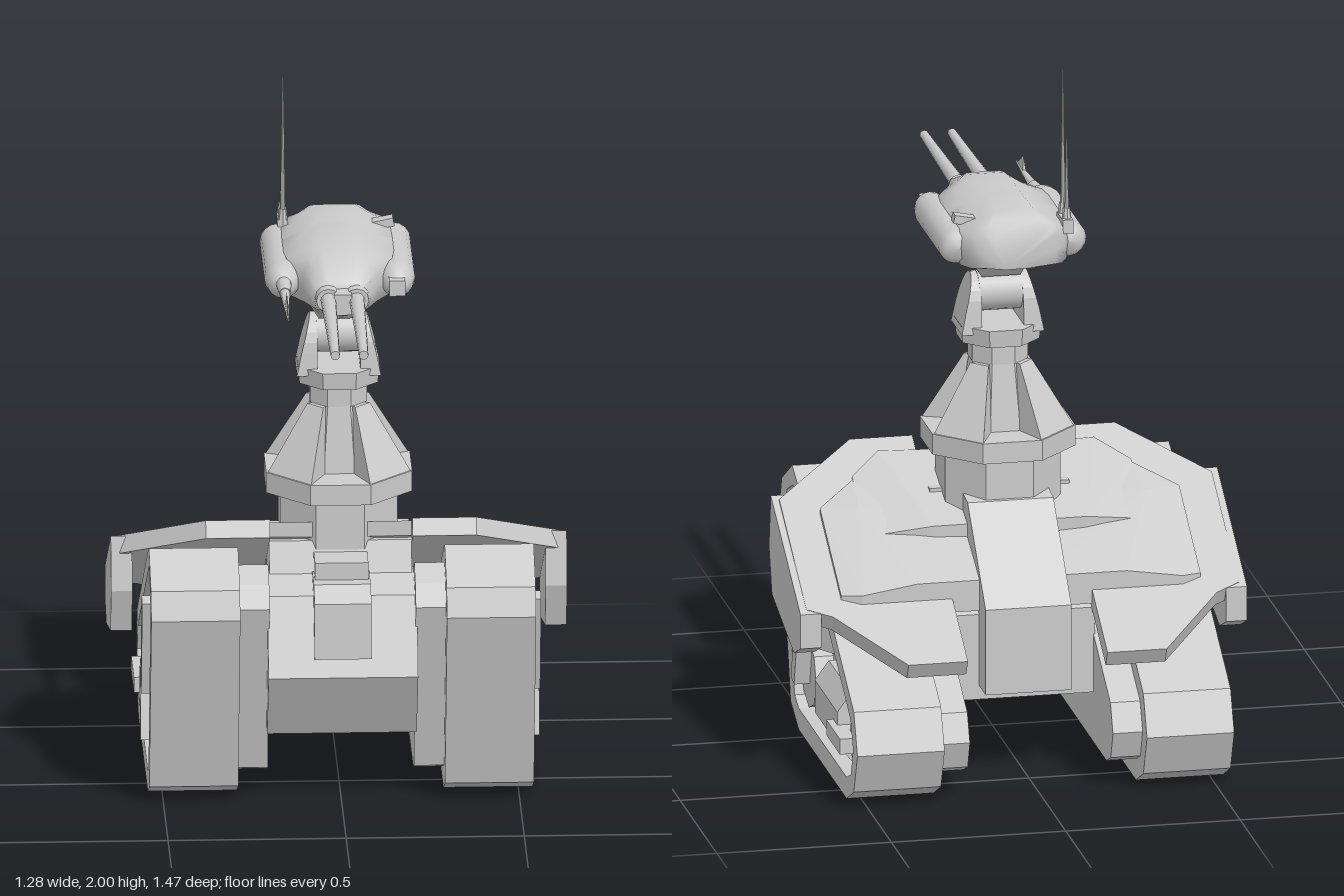
import * as THREE from 'three';
import { ConvexGeometry } from 'three/addons/geometries/ConvexGeometry.js';

const flat = new THREE.MeshStandardMaterial({ color: 0xcccccc, flatShading: true });
const smooth = new THREE.MeshStandardMaterial({ color: 0xcccccc, side: THREE.DoubleSide });
const TZ = -0.075; // turret axis

const v2 = (pts) => pts.map(([a, b]) => new THREE.Vector2(a, b));

export function createModel() {
  const root = new THREE.Group();

  const add = (name, geo, mat = flat) => {
    const m = new THREE.Mesh(geo, mat);
    m.name = name;
    root.add(m);
    return m;
  };
  const box = (name, x0, x1, y0, y1, z0, z1) =>
    add(name, new THREE.BoxGeometry(x1 - x0, y1 - y0, z1 - z0)
      .translate((x0 + x1) / 2, (y0 + y1) / 2, (z0 + z1) / 2));
  // side profile of (z, y) points extruded from xa to xb
  const profile = (name, pts, xa, xb, hole) => {
    const shape = new THREE.Shape(v2(pts));
    if (hole) shape.holes.push(new THREE.Path(v2(hole)));
    const g = new THREE.ExtrudeGeometry(shape, { depth: Math.abs(xb - xa), bevelEnabled: false });
    return add(name, g.rotateY(-Math.PI / 2).translate(Math.max(xa, xb), 0, 0));
  };
  const hull = (name, pts) => add(name, new ConvexGeometry(pts.map((p) => new THREE.Vector3(...p))));
  // upright octagon measured across its flats
  const octagon = (name, rTop, rBottom, y0, y1) => {
    const k = 1 / Math.cos(Math.PI / 8);
    return add(name, new THREE.CylinderGeometry(rTop * k, rBottom * k, y1 - y0, 8)
      .rotateY(Math.PI / 8).translate(0, (y0 + y1) / 2, TZ));
  };
  // round part lying along z, from z0 (radius r0) to z1 (radius r1)
  const rod = (name, x, y, z0, z1, r0, r1) =>
    add(name, new THREE.CylinderGeometry(r1, r0, z1 - z0, 12)
      .rotateX(Math.PI / 2).translate(x, y, (z0 + z1) / 2), smooth);

  // ---- Tracks ----
  const trackOuter = [[0.33, 0.59], [0.30, 0.67], [0.16, 0.75], [0.10, 0.725], [-0.68, 0.285], [-0.73, 0.17],
    [-0.68, 0.05], [-0.58, 0], [0.07, 0], [0.18, 0.05]];
  const trackInner = [[0.265, 0.60], [0.225, 0.66], [0.15, 0.695], [0.09, 0.66], [-0.635, 0.25], [-0.67, 0.17],
    [-0.64, 0.09], [-0.58, 0.063], [0.07, 0.063], [0.125, 0.085]];
  const fenderTop = (z) => 0.745 + 0.567 * z;

  for (const s of [1, -1]) {
    const side = s > 0 ? 'left' : 'right';
    profile(side + 'TrackBand', trackOuter, s * 0.29, s * 0.54, trackInner);
    profile(side + 'TrackCore', trackInner, s * 0.205, s * 0.46);

    // hubs and linkage in the recess
    for (const [z, y, r] of [[0.155, 0.58, 0.1], [0.05, 0.17, 0.1], [-0.58, 0.165, 0.075]]) {
      add(side + 'Hub', new THREE.CylinderGeometry(r, r, 0.06, 8)
        .rotateZ(Math.PI / 2).translate(s * 0.485, y, z));
    }
    for (const [z0, y0, z1, y1] of [[0.165, 0.6, 0.09, 0.31], [0.005, 0.35, 0.06, 0.15], [-0.4, 0.155, -0.585, 0.155]]) {
      const arm = add(side + 'LinkArm', new THREE.BoxGeometry(0.1, 0.045, Math.hypot(z1 - z0, y1 - y0)));
      arm.position.set(s * 0.51, (y0 + y1) / 2, (z0 + z1) / 2);
      arm.rotation.x = -Math.atan2(y1 - y0, z1 - z0);
    }
    hull(side + 'LinkBlock', [[0.45, 0.165], [0.52, 0.165], [0.52, -0.045], [0.45, -0.15]]
      .flatMap(([x, z]) => [0.275, 0.37].map((y) => [s * x, y, z])));
    hull(side + 'SideTank', [-0.455, -0.15].flatMap((z) =>
      [[0.45, 0.07], [0.5, 0.07], [0.54, 0.12], [0.54, 0.215], [0.5, 0.27], [0.45, 0.27]]
        .map(([x, y]) => [s * x, y, z])));

    // ---- Sloping fender: the slab is tilted, so its top edge leans back ----
    const plan = [[0.2, 0.163], [0.38, 0.163], [0.62, -0.02], [0.62, -0.39], [0.55, -0.42], [0.37, -0.595], [0.2, -0.595]];
    const plate = new THREE.ExtrudeGeometry(new THREE.Shape(v2(plan.map(([x, z]) => [s * x, -z]))),
      { depth: 1, bevelEnabled: false }).rotateX(-Math.PI / 2);
    const p = plate.attributes.position;
    for (let i = 0; i < p.count; i++) {
      const t = p.getY(i), z = p.getZ(i);
      p.setY(i, fenderTop(z) - 0.059 + 0.045 * t);
      p.setZ(i, z - 0.025 * t);
    }
    plate.computeVertexNormals();
    add(side + 'Fender', plate);
    profile(side + 'Skirt', [[-0.025, 0.725], [0, 0.57], [-0.04, 0.44], [-0.34, 0.36], [-0.43, 0.4], [-0.43, 0.5]],
      s * 0.58, s * 0.64);

    // overlapping armour steps: x, z, rise above the fender
    const steps = [
      [[0.05, 0.08, 0.004], [0.31, 0.09, 0.004], [0.4, 0.01, 0.004], [0.4, -0.22, 0.03], [0.22, -0.245, 0.07], [0.05, -0.245, 0.07]],
      [[0.05, -0.05, 0.004], [0.4, 0.0, 0.004], [0.45, -0.05, 0], [0.41, -0.13, 0.035], [0.515, -0.1, 0.015],
        [0.515, -0.39, 0.012], [0.46, -0.41, 0.025], [0.3, -0.41, 0.05], [0.05, -0.41, 0.05]],
    ];
    for (const step of steps) {
      hull(side + 'ArmourStep', step.flatMap(([x, z, h]) =>
        [h, -0.04].map((d) => [s * x, fenderTop(z) + d, z])));
    }
  }

  // ---- Hull between the tracks ----
  profile('hull', [[0.31, 0.41], [0.21, 0.62], [0.1, 0.66], [-0.25, 0.55], [-0.405, 0.46], [-0.405, 0.21], [0.2, 0.21]],
    -0.21, 0.21);
  profile('rearSpine', [[-0.1, 0.76], [-0.25, 0.74], [-0.495, 0.5], [-0.495, 0.25], [-0.1, 0.25]], -0.123, 0.123);
  profile('noseBox', [[0.1, 0.66], [0.23, 0.66], [0.285, 0.62], [0.295, 0.46], [0.1, 0.46]], -0.08, 0.08);
  box('columnFoot', -0.075, 0.075, 0.6, 0.71, -0.05, 0.19);
  profile('shoulder', [[0.13, 0.62], [0.08, 0.74], [-0.1, 0.74], [-0.1, 0.62]], -0.2, 0.2);

  // ---- Pedestal ----
  octagon('pedestalColumn', 0.165, 0.165, 0.6, 0.87);
  octagon('pedestalRing', 0.205, 0.205, 0.86, 0.92);
  octagon('pedestalCore', 0.075, 0.105, 0.92, 1.12);
  for (const sx of [1, -1]) for (const sz of [1, -1]) {
    hull('buttress', [[0.083, 0.2, 0.92], [0.2, 0.083, 0.92], [0.03, 0.08, 0.92], [0.08, 0.03, 0.92],
      [0.045, 0.088, 1.11], [0.088, 0.045, 1.11], [0.02, 0.02, 1.11]]
      .map(([x, z, y]) => [sx * x, y, TZ + sz * z]));
  }
  octagon('neck', 0.08, 0.08, 1.11, 1.18);

  // ---- Yoke ----
  octagon('yokeBase', 0.115, 0.11, 1.17, 1.22);
  for (const s of [1, -1]) {
    const pts = [];
    for (let i = 0; i <= 10; i++) {
      const a = (i / 10) * Math.PI, c = Math.cos(a), h = Math.sin(a);
      pts.push([s * 0.06, 1.265 + 0.1 * h, TZ + 0.07 * c], [s * (0.105 - 0.025 * h), 1.265 + 0.1 * h, TZ + 0.07 * c]);
    }
    for (const z of [-0.075, 0.075]) pts.push([s * 0.06, 1.2, TZ + z], [s * 0.118, 1.2, TZ + z]);
    hull('yokeArm', pts);
  }
  add('yokePivot', new THREE.CylinderGeometry(0.058, 0.058, 0.125, 20)
    .rotateZ(Math.PI / 2).translate(0, 1.308, TZ), smooth);

  // ---- Gun head: z, shoulder half width / bottom / top, ridge half width / top, keel half width / bottom ----
  const sections = [
    [-0.367, 0.1, 1.465, 1.55, 0.07, 1.56, 0.06, 1.457],
    [-0.335, 0.13, 1.457, 1.56, 0.07, 1.592, 0.08, 1.45],
    [-0.29, 0.152, 1.455, 1.56, 0.055, 1.61, 0.09, 1.44],
    [-0.145, 0.155, 1.455, 1.56, 0.05, 1.612, 0.088, 1.41],
    [-0.12, 0.155, 1.455, 1.56, 0.05, 1.612, 0.085, 1.36],
    [-0.03, 0.155, 1.455, 1.56, 0.05, 1.612, 0.085, 1.36],
    [0.03, 0.148, 1.455, 1.56, 0.05, 1.608, 0.08, 1.388],
    [0.07, 0.125, 1.457, 1.56, 0.05, 1.603, 0.08, 1.41],
    [0.12, 0.1, 1.46, 1.557, 0.048, 1.592, 0.07, 1.43],
    [0.225, 0.072, 1.475, 1.542, 0.04, 1.55, 0.05, 1.467],
  ];
  const pos = [], idx = [];
  for (const [z, w, yL, yU, tw, hi, lw, lo] of sections) {
    const half = [[lw * 0.65, lo], [lw, (lo + yL) / 2], [w, yL], [w + 0.008, (yL + yU) / 2], [w, yU],
      [(tw + w) / 2, yU + (hi - yU) * 0.35], [tw, hi]];
    for (const [x, y] of half) pos.push(x, y, z);
    for (const [x, y] of half.reverse()) pos.push(-x, y, z);
  }
  const N = 14, last = (sections.length - 1) * N;
  for (let r = 0; r < last; r += N) for (let i = 0; i < N; i++) {
    const a = r + i, b = r + (i + 1) % N;
    idx.push(a, b, b + N, a, b + N, a + N);
  }
  for (let i = 1; i < N - 1; i++) idx.push(0, i + 1, i, last, last + i, last + i + 1);
  const head = new THREE.BufferGeometry();
  head.setAttribute('position', new THREE.Float32BufferAttribute(pos, 3));
  head.setIndex(idx);
  head.computeVertexNormals();
  add('gunHead', head, smooth);

  // side pods and barrels
  const podProfile = v2([[0, -0.305], [0.035, -0.3], [0.052, -0.275], [0.052, 0.05], [0.045, 0.09], [0.026, 0.125], [0, 0.13]]);
  for (const s of [1, -1]) {
    add('sidePod', new THREE.LatheGeometry(podProfile, 16).rotateX(Math.PI / 2).translate(s * 0.16, 1.508, 0), smooth);
    rod('barrelCollar', s * 0.04, 1.51, 0.2, 0.255, 0.038, 0.034);
    rod('barrel', s * 0.04, 1.511, 0.25, 0.735, 0.022, 0.013);
  }
  box('barrelClamp', -0.025, 0.025, 1.475, 1.535, 0.2, 0.28);

  // small side gun, sensor boxes and antennas
  rod('sideGunBody', -0.16, 1.515, 0.08, 0.2, 0.025, 0.016);
  rod('sideGunSpike', -0.16, 1.515, 0.2, 0.435, 0.014, 0.002);
  hull('sideGunFin', [[-0.166, 1.51, 0.32], [-0.154, 1.51, 0.32], [-0.16, 1.563, 0.332], [-0.16, 1.515, 0.42]]);
  box('frontSensor', 0.135, 0.18, 1.485, 1.53, 0.08, 0.15);
  const flap = box('topSensor', -0.033, 0.033, -0.012, 0.012, -0.018, 0.018);
  flap.position.set(0.13, 1.572, -0.238);
  flap.rotation.z = 0.2;
  box('antennaMount', -0.163, -0.133, 1.54, 1.58, -0.33, -0.245);
  for (const [z, top] of [[-0.257, 2.0], [-0.309, 1.812]]) {
    add('antennaBase', new THREE.CylinderGeometry(0.011, 0.015, 0.05, 8).translate(-0.148, 1.585, z));
    add('antenna', new THREE.CylinderGeometry(0.002, 0.008, top - 1.57, 8).translate(-0.148, (top + 1.57) / 2, z));
  }
  return root;
}
